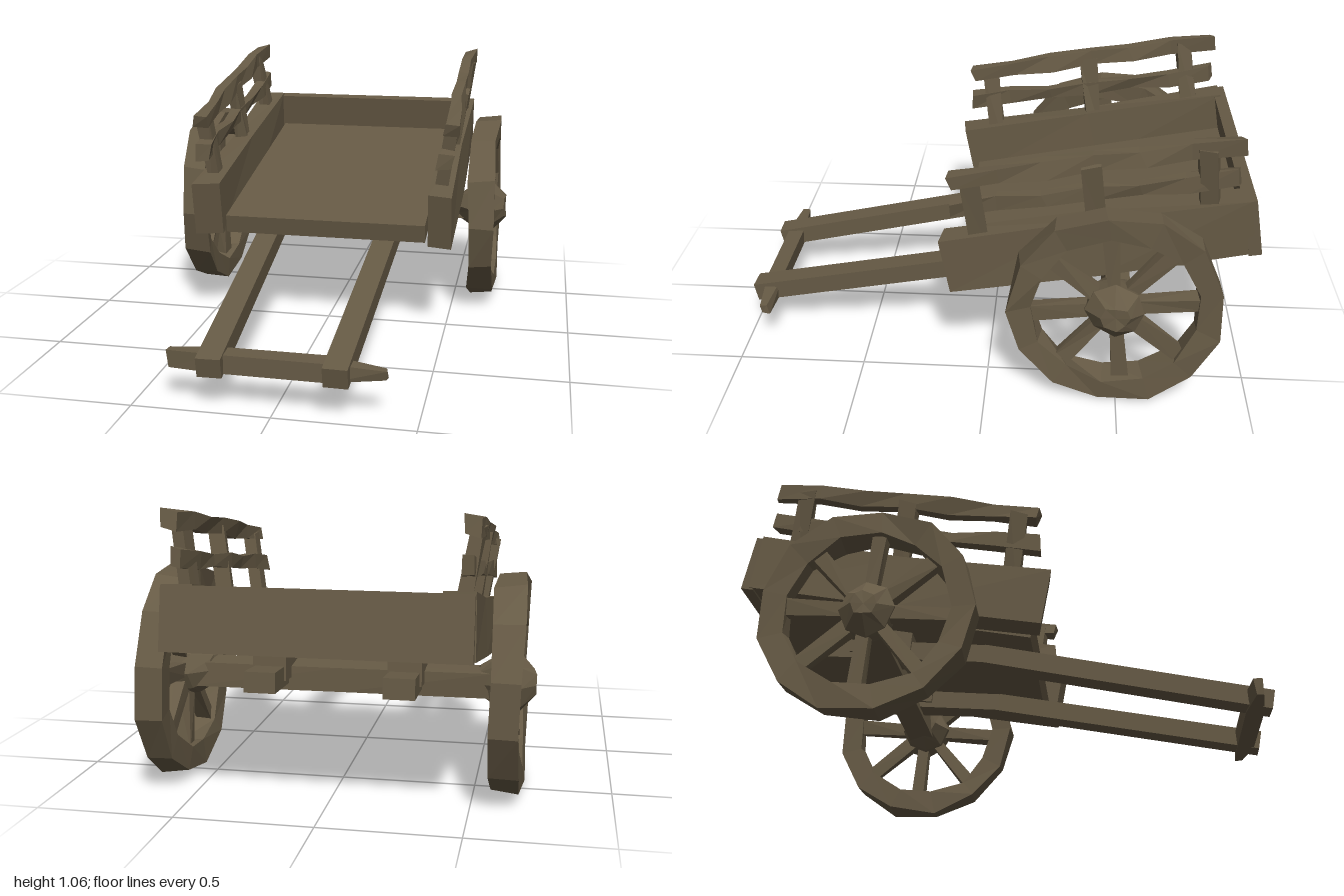
import * as THREE from 'three';

const wood = new THREE.MeshStandardMaterial({ color: 0x665a45 });
wood.name = 'weathered wood';

const V = (x, y, z) => new THREE.Vector3(x, y, z);
const TILT = V(0, 0.984, 0.18); // up direction of the sloping cart bed

// Shift corners by a repeatable amount taken from their position, then facet
function facet(geometry, amount) {
  const p = geometry.attributes.position;
  const wobble = (x, y, z, k) => Math.sin(Math.round(x * 500) * 1.7 + Math.round(y * 500) * 2.3 + Math.round(z * 500) * 3.1 + k);
  for (let i = 0; i < p.count; i++) {
    const x = p.getX(i), y = p.getY(i), z = p.getZ(i);
    p.setXYZ(i, x + amount * wobble(x, y, z, 1), y + amount * wobble(x, y, z, 3), z + amount * wobble(x, y, z, 5));
  }
  const flat = geometry.toNonIndexed();
  flat.computeVertexNormals();
  return flat;
}

function add(parent, name, geometry) {
  const mesh = new THREE.Mesh(geometry, wood);
  mesh.name = name;
  parent.add(mesh);
  return mesh;
}

// Squared timber from a to b; w is across, h along up, end scales its far end
function beam(parent, name, a, b, w, h, { up = V(0, 1, 0), segments = 1, rough = 0, end = [1, 1], start = [1, 1] } = {}) {
  const length = a.distanceTo(b);
  const g = new THREE.BoxGeometry(w, h, length, 1, 1, segments);
  const p = g.attributes.position;
  for (let i = 0; i < p.count; i++) {
    const z = p.getZ(i);
    const s = z > length / 2 - 1e-4 ? end : z < -length / 2 + 1e-4 ? start : [1, 1];
    p.setX(i, p.getX(i) * s[0]);
    p.setY(i, p.getY(i) * s[1]);
  }
  const d = b.clone().sub(a).normalize();
  const side = up.clone().cross(d).normalize();
  const top = d.clone().cross(side);
  const m = new THREE.Matrix4().makeBasis(side, top, d).setPosition(a.clone().add(b).multiplyScalar(0.5));
  g.applyMatrix4(m);
  return add(parent, name, facet(g, rough));
}

function wheel(s) {
  const group = new THREE.Group();
  group.name = s > 0 ? 'leftWheel' : 'rightWheel';
  const lathe = (points, sides) => new THREE.LatheGeometry(points.map(([r, y]) => new THREE.Vector2(r, y)), sides).rotateZ(-s * Math.PI / 2);
  // Rough many-sided rim
  add(group, 'rim', facet(lathe([[0.31, -0.046], [0.398, -0.052], [0.402, 0.052], [0.31, 0.046], [0.31, -0.046]], 13), 0.008));
  // Hub with blunt pointed ends
  add(group, 'hub', facet(lathe([[0, -0.12], [0.055, -0.115], [0.1, -0.045], [0.108, 0.035], [0.05, 0.09], [0, 0.094]], 8), 0.006));
  for (let i = 0; i < 8; i++) {
    const t = i * Math.PI / 4 + 0.1;
    const at = (r) => V(0, r * Math.cos(t), r * Math.sin(t));
    beam(group, 'spoke', at(0.07), at(0.325), 0.05, 0.05, { up: V(1, 0, 0), rough: 0.005, end: [1.2, 1.1] });
  }
  group.position.set(s * 0.622, 0.41, -0.48);
  return group;
}

export function createModel() {
  const cart = new THREE.Group();
  cart.name = 'handcart';

  // Sloping bed and back
  beam(cart, 'floor', V(0, 0.422, 0.1), V(0, 0.628, -0.96), 0.83, 0.075);
  beam(cart, 'backBoard', V(-0.525, 0.7, -0.965), V(0.525, 0.7, -0.965), 0.048, 0.225, { up: TILT });

  // Axle and crossbar joining the handles
  beam(cart, 'axle', V(-0.57, 0.4, -0.49), V(0.57, 0.4, -0.49), 0.1, 0.1, { segments: 2, rough: 0.006 });
  beam(cart, 'crossbar', V(-0.385, 0.165, 0.92), V(0.385, 0.165, 0.92), 0.06, 0.065, { segments: 4, rough: 0.006, start: [0.5, 0.8], end: [0.5, 0.7] });

  for (const s of [-1, 1]) {
    const side = new THREE.Group();
    side.name = s > 0 ? 'leftSide' : 'rightSide';
    cart.add(side);

    // Thick side board
    beam(side, 'sideBoard', V(s * 0.475, 0.493, 0.155), V(s * 0.47, 0.7, -0.96), 0.105, 0.225, { segments: 2, rough: 0.008 });

    // Posts leaning outwards
    for (const z of [0.04, -0.39, -0.8]) {
      const y = 0.6 - 0.18 * z;
      beam(side, 'railPost', V(s * 0.465, y - 0.06, z - 0.02), V(s * 0.515, y + 0.27, z + 0.02), 0.05, 0.065, { up: V(0, 0, 1), rough: 0.007 });
    }

    // Two rails with splayed, ragged ends
    for (const [name, x, y] of [['lowerRail', 0.492, 0.725], ['upperRail', 0.51, 0.855]]) {
      beam(side, name, V(s * x, y, 0.14), V(s * x, y + 0.17, -0.9), 0.042, 0.06, { segments: 6, rough: 0.009, start: [1.4, 1.05], end: [1.3, 1.1] });
    }

    // Handle, its tail under the bed, and the block above the axle
    beam(cart, 'handle', V(s * 0.22, 0.162, 0.985), V(s * 0.25, 0.385, -0.1), 0.088, 0.075);
    beam(cart, 'handleTail', V(s * 0.25, 0.383, -0.09), V(s * 0.25, 0.435, -0.76), 0.088, 0.072, { end: [1.3, 1.05] });
    beam(cart, 'axleBlock', V(s * 0.25, 0.455, -0.38), V(s * 0.25, 0.475, -0.62), 0.125, 0.13);

    cart.add(wheel(s));
  }
  return cart;
}
